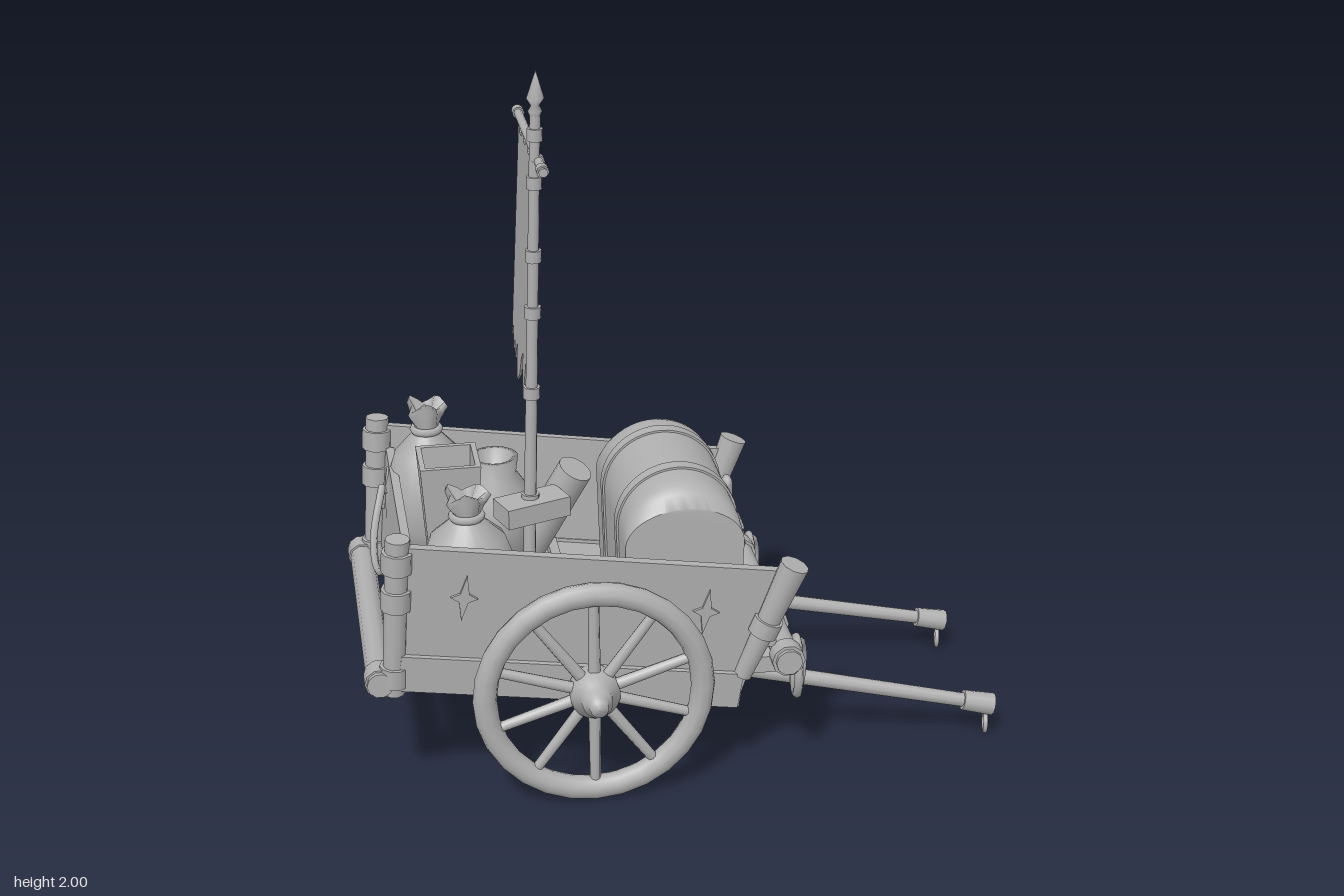
import * as THREE from 'three';
import { toCreasedNormals } from 'three/addons/utils/BufferGeometryUtils.js';

const grey = new THREE.MeshStandardMaterial({ color: 0xb0b0b0 });
grey.name = 'plain grey';
grey.side = THREE.DoubleSide;
const V = (x, y, z) => new THREE.Vector3(x, y, z);

function add(parent, name, geo, x = 0, y = 0, z = 0) {
  const m = new THREE.Mesh(geo, grey);
  m.name = name;
  m.position.set(x, y, z);
  parent.add(m);
  return m;
}
const box = (p, name, w, h, d, x, y, z) => add(p, name, new THREE.BoxGeometry(w, h, d), x, y, z);

// Tapered round bar between two points
function rod(p, name, a, b, r1, r2 = r1, sides = 10) {
  const d = b.clone().sub(a);
  const m = add(p, name, new THREE.CylinderGeometry(r2, r1, d.length(), sides));
  m.position.copy(a).addScaledVector(d, 0.5);
  m.quaternion.setFromUnitVectors(V(0, 1, 0), d.normalize());
  return m;
}
// Bar with raised bands at the given fractions of its length
function bandedRod(p, name, a, b, r1, r2, bands, bandLen = 0.045, grow = 1.3) {
  rod(p, name, a, b, r1, r2);
  const u = b.clone().sub(a).normalize().multiplyScalar(bandLen / 2);
  for (const t of bands) {
    const c = a.clone().lerp(b, t), r = (r1 + (r2 - r1) * t) * grow;
    rod(p, name + 'Band', c.clone().sub(u), c.clone().add(u), r);
  }
}
function rope(p, name, pts, r) {
  add(p, name, new THREE.TubeGeometry(new THREE.CatmullRomCurve3(pts), 20, r, 6));
}
function ring(p, name, R, r, x, y, z, ry, sy = 1) {
  const m = add(p, name, new THREE.TorusGeometry(R, r, 8, 20), x, y, z);
  m.rotation.y = ry;
  m.scale.y = sy;
}
function lathe(p, name, pts, x, y, z, sides = 18) {
  return add(p, name, new THREE.LatheGeometry(pts.map(q => new THREE.Vector2(...q)), sides), x, y, z);
}

function buildWheel(parent, side) {
  const g = new THREE.Group();
  g.name = side > 0 ? 'leftWheel' : 'rightWheel';
  g.position.set(side * 0.474, 0.345, side > 0 ? -0.258 : -0.24);
  g.rotation.y = side * Math.PI / 2;
  parent.add(g);
  add(g, 'rim', new THREE.TorusGeometry(0.307, 0.034, 10, 28));
  for (let i = 0; i < 10; i++) {
    const a = Math.PI / 2 + i * Math.PI / 5, c = Math.cos(a), s = Math.sin(a);
    rod(g, 'spoke', V(c * 0.04, s * 0.04, 0), V(c * 0.29, s * 0.29, 0), 0.018, 0.015, 8);
  }
  const hub = lathe(g, 'hub', [[0, -0.07], [0.055, -0.07], [0.07, -0.03], [0.07, 0.025], [0.045, 0.035],
    [0.042, 0.07], [0.028, 0.075], [0.025, 0.1], [0, 0.105]], 0, 0, 0);
  hub.rotation.x = Math.PI / 2;
}

// Tilted bed with side boards, corner posts and tailboard
function buildBed(parent) {
  const bed = new THREE.Group();
  bed.name = 'bed';
  bed.position.set(-0.01, 0.295, -0.24);
  bed.rotation.x = 0.15;
  parent.add(bed);
  box(bed, 'floor', 0.77, 0.03, 0.95, 0, 0.085, -0.05);
  box(bed, 'frontPanel', 0.8, 0.11, 0.04, 0, 0.045, 0.41);
  box(bed, 'rearPanel', 0.78, 0.1, 0.04, 0, 0.06, -0.52);
  box(bed, 'batten', 0.74, 0.02, 0.03, 0, 0.11, -0.03);
  const side = new THREE.Shape([[-0.55, 0], [0.42, 0], [0.485, 0.44], [-0.59, 0.44]].map(p => new THREE.Vector2(...p)));
  const diamond = new THREE.Shape();
  for (let i = 0; i < 8; i++) {
    const a = i * Math.PI / 4, r = i % 2 ? 0.018 : i % 4 ? 0.07 : 0.038;
    diamond[i ? 'lineTo' : 'moveTo'](r * Math.cos(a), r * Math.sin(a));
  }
  const ornament = new THREE.ExtrudeGeometry(diamond, { depth: 0.008, bevelEnabled: false });
  for (const s of [-1, 1]) {
    const wall = new THREE.Group();
    wall.name = s > 0 ? 'leftSide' : 'rightSide';
    wall.position.x = s * 0.395;
    wall.rotation.z = -s * 0.045;
    bed.add(wall);
    const board = add(wall, 'sideBoard', new THREE.ExtrudeGeometry(side, { depth: 0.026, bevelEnabled: false }), 0.013);
    board.rotation.y = -Math.PI / 2;
    box(wall, 'sill', 0.045, 0.11, 0.97, s * 0.006, 0.055, -0.065);
    for (const z of [-0.4, 0.28]) {
      const d = add(wall, 'sideOrnament', ornament, s * 0.013, 0.3, z);
      d.rotation.y = s * Math.PI / 2;
    }
    const lean = s < 0 ? -0.035 : 0;
    bandedRod(wall, 'frontPost', V(lean / 3, 0.1, 0.42), V(lean, 0.475, 0.5), 0.026, 0.042, [0.45], 0.05);
    bandedRod(wall, 'rearPost', V(0, -0.02, -0.555), V(0, 0.46, -0.6), 0.032, 0.034, [0.12, 0.62, 0.86], 0.06);
  }
  const tail = box(bed, 'tailboard', 0.78, 0.31, 0.025, 0, 0.22, -0.545);
  tail.rotation.x = -0.06;
  rope(bed, 'tailRope', [V(-0.25, 0.31, -0.58), V(-0.14, 0.22, -0.6), V(0, 0.19, -0.605),
    V(0.14, 0.22, -0.6), V(0.25, 0.31, -0.58)], 0.011);
  for (const s of [-1, 1]) {
    const o = add(bed, 'tailOrnament', ornament, s * 0.26, 0.3, -0.564);
    o.rotation.y = Math.PI;
  }
}

// Front and rear beams, shafts and hanging rings
function buildHarness(parent) {
  bandedRod(parent, 'frontBeam', V(-0.475, 0.385, 0.315), V(0.455, 0.385, 0.315), 0.038, 0.038, [0.04, 0.27, 0.77, 0.96], 0.05, 1.25);
  box(parent, 'frontLedge', 0.8, 0.05, 0.14, -0.01, 0.35, 0.23);
  rod(parent, 'frontRail', V(-0.42, 0.43, 0.27), V(0.4, 0.43, 0.27), 0.018);
  bandedRod(parent, 'rearBeam', V(-0.44, 0.4, -0.83), V(0.43, 0.4, -0.83), 0.037, 0.037, [0.05, 0.95], 0.06, 1.15);
  for (const [x0, x1, s] of [[0.215, 0.213, 1], [-0.255, -0.315, -1]]) {
    const a = V(x0, 0.275, 0.15), b = V(x1, 0.098, 0.97);
    rod(parent, 'shaft', a, b, 0.024, 0.02);
    rod(parent, 'shaftTip', a.clone().lerp(b, 0.89), b, 0.03, 0.033);
    ring(parent, 'shaftRing', 0.028, 0.007, x1, 0.042, 0.95, -0.22);
    const rx = s > 0 ? 0.28 : -0.385;
    ring(parent, 'tetherRing', 0.066, 0.013, rx, 0.325, 0.355, -0.1, 1.25);
    ring(parent, 'tetherRing', 0.056, 0.012, rx + 0.015, 0.31, 0.365, -0.45, 1.35);
    rope(parent, 'cornerRope', [V(s * 0.41, 0.54, 0.23), V(s * 0.36, 0.47, 0.29), V(s * 0.26, 0.44, 0.315), V(s * 0.2, 0.425, 0.315)], 0.011);
  }
  rod(parent, 'axle', V(-0.5, 0.345, -0.24), V(0.5, 0.345, -0.258), 0.032);
}

// Chest with a barrel lid that rounds off at both ends
function buildChest(parent) {
  const g = new THREE.Group();
  g.name = 'chest';
  g.position.set(-0.025, 0.3, 0.045);
  parent.add(g);
  const part = (name, r, len, steps, x = 0) => {
    const s = new THREE.Shape();
    s.moveTo(-r + 0.012, 0.03);
    s.lineTo(r - 0.012, 0.03);
    s.lineTo(r, 0.4);
    s.absarc(0, 0.4, r, 0, Math.PI, false);
    const geo = new THREE.ExtrudeGeometry(s, { depth: len, steps, curveSegments: 14, bevelEnabled: false });
    geo.translate(0, 0, -len / 2);
    geo.rotateY(Math.PI / 2);
    geo.translate(x, 0, 0);
    const p = geo.attributes.position;
    for (let i = 0; i < p.count; i++) {
      const lift = Math.max(0, p.getY(i) - 0.38);
      p.setY(i, p.getY(i) - lift * 0.34 * (Math.abs(p.getX(i)) / 0.28) ** 10);
    }
    add(g, name, toCreasedNormals(geo, 0.6));
  };
  part('chestBody', 0.17, 0.56, 24);
  for (const x of [-0.13, 0.13]) part('chestStrap', 0.176, 0.04, 1, x);
  const clasp = add(g, 'clasp', new THREE.CapsuleGeometry(0.024, 0.075, 4, 10), -0.005, 0.41, 0.172);
  clasp.scale.z = 0.7;
}

function buildSack(parent, x, z, base, r, top) {
  const h = top - base;
  const sack = lathe(parent, 'sack', [[0, 0], [r * 0.7, 0], [r, h * 0.24], [r * 0.99, h * 0.45], [r * 0.75, h * 0.66],
    [r * 0.3, h * 0.79], [r * 0.27, h * 0.83], [r * 0.42, h * 0.97], [r * 0.36, h], [0, h * 0.86]], x, base, z);
  // Ruffle the cloth above the tie
  const p = sack.geometry.attributes.position;
  for (let i = 0; i < p.count; i++) {
    if (p.getY(i) < h * 0.85) continue;
    const a = Math.atan2(p.getZ(i), p.getX(i)), k = 1 + 0.2 * Math.sin(5 * a);
    p.setXYZ(i, p.getX(i) * k, p.getY(i) - h * 0.03 * (1 + Math.cos(3 * a)), p.getZ(i) * k);
  }
  sack.geometry.computeVertexNormals();
  const tie = add(parent, 'sackTie', new THREE.TorusGeometry(r * 0.29, 0.012, 6, 16), x, base + h * 0.81, z);
  tie.rotation.x = Math.PI / 2;
}

function buildCargo(parent) {
  buildSack(parent, 0.24, -0.63, 0.46, 0.13, 0.96);
  buildSack(parent, -0.233, -0.56, 0.45, 0.14, 0.885);
  lathe(parent, 'openSack', [[0, 0], [0.08, 0], [0.114, 0.14], [0.105, 0.24], [0.065, 0.3], [0.072, 0.35], [0.055, 0.35],
    [0.045, 0.29], [0, 0.27]], 0.174, 0.44, -0.44);
  rod(parent, 'clothRoll', V(0.17, 0.46, -0.36), V(0.09, 0.77, -0.21), 0.052, 0.052, 14);
  // Open flared crate
  const pts = [[0, 0], [0.08, 0], [0.122, 0.44], [0.1, 0.44], [0.085, 0.25], [0, 0.25]].map(q => new THREE.Vector2(...q));
  const crate = add(parent, 'openCrate', toCreasedNormals(new THREE.LatheGeometry(pts, 4), 0.3), -0.025, 0.45, -0.59);
  crate.rotation.y = Math.PI / 4;
  const base = box(parent, 'poleBlock', 0.1, 0.06, 0.2, 0, 0.7, -0.35);
  base.rotation.y = 0.35;
}

// Pole with spear tip, crossbar and torn banner
function buildBanner(parent) {
  const g = new THREE.Group();
  g.name = 'bannerPole';
  g.position.set(0.005, 0.36, -0.365);
  g.rotation.x = 0.03;
  parent.add(g);
  bandedRod(g, 'pole', V(0, 0, 0), V(0, 1.52, 0), 0.019, 0.015, [0.24, 0.46, 0.62, 0.73, 0.87, 0.96], 0.035, 1.45);
  lathe(g, 'spearTip', [[0.013, 0], [0.02, 0.02], [0.012, 0.035], [0.025, 0.055], [0, 0.135]], 0, 1.505, 0, 8);
  bandedRod(g, 'crossbar', V(-0.115, 1.385, 0.01), V(0.495, 1.385, 0.01), 0.013, 0.013, [0.04, 0.19, 0.96], 0.03, 1.35);
  const s = new THREE.Shape([[0.055, 1.39], [0.045, 0.73], [0.08, 0.7], [0.095, 0.76], [0.12, 0.67], [0.155, 0.63],
    [0.17, 0.75], [0.2, 0.72], [0.225, 0.66], [0.285, 0.62], [0.3, 0.73], [0.335, 0.67], [0.365, 0.72],
    [0.385, 0.68], [0.405, 0.75], [0.43, 0.71], [0.43, 1.39]].map(q => new THREE.Vector2(...q)));
  // Gaps between the hanging loops
  for (let i = 0; i < 4; i++) {
    const x = 0.07 + i * 0.092;
    s.holes.push(new THREE.Path([[x, 1.375], [x + 0.01, 1.345], [x + 0.05, 1.345], [x + 0.06, 1.375]].map(q => new THREE.Vector2(...q))));
  }
  const banner = add(g, 'banner', new THREE.ExtrudeGeometry(s, { depth: 0.006, bevelEnabled: false }), 0, 0, -0.02);
  banner.rotation.x = 0.02;
}

export function createModel() {
  const model = new THREE.Group();
  model.name = 'cart';
  const cart = new THREE.Group();
  cart.name = 'cartAssembly';
  cart.rotation.y = THREE.MathUtils.degToRad(58);
  model.add(cart);
  buildBed(cart);
  for (const s of [-1, 1]) buildWheel(cart, s);
  buildHarness(cart);
  buildChest(cart);
  buildCargo(cart);
  buildBanner(cart);
  return model;
}
